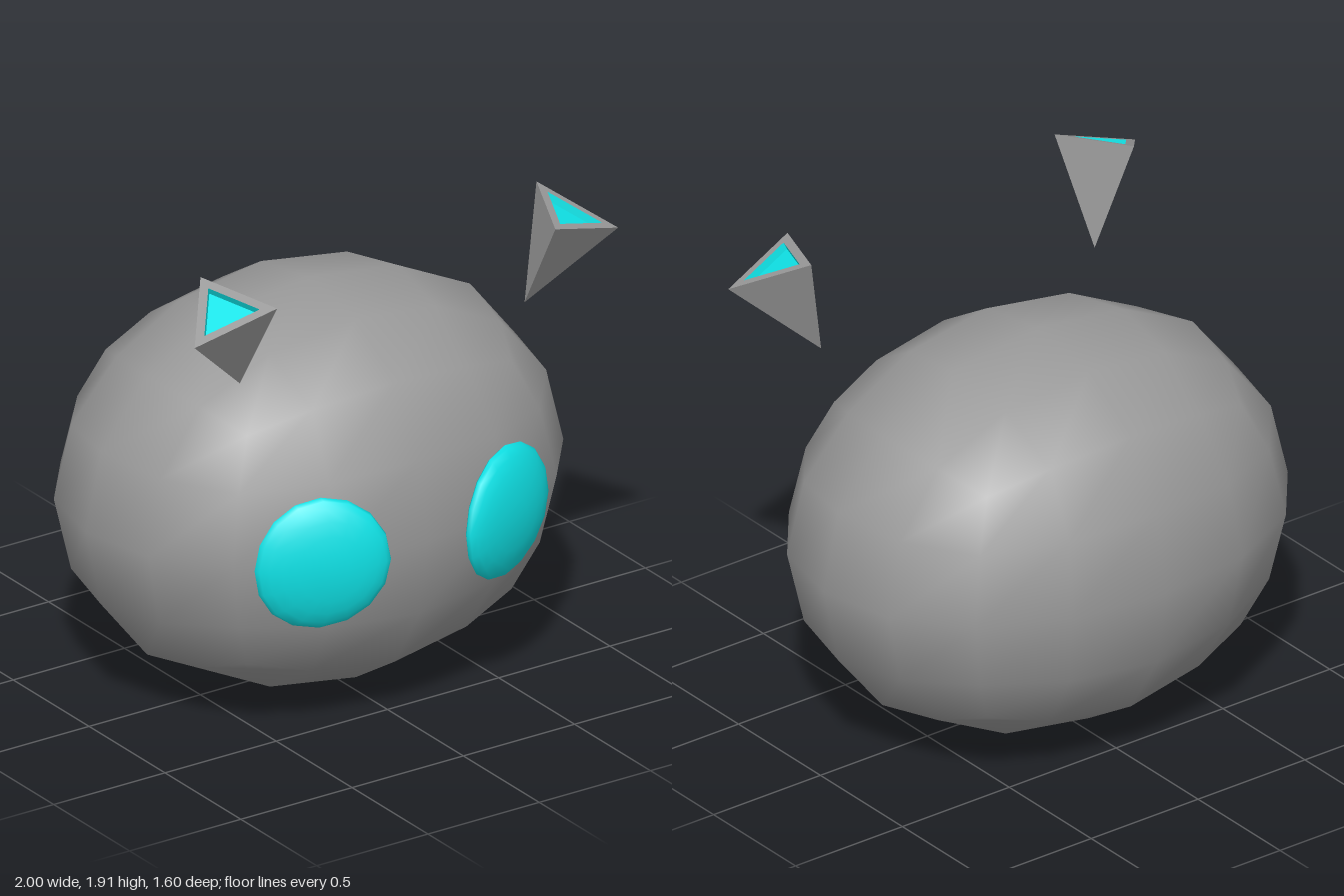
import * as THREE from 'three';
import { mergeVertices } from 'three/addons/utils/BufferGeometryUtils.js';

const RX = 1, R = 0.785, CY = 0.79, CZ = -0.02;

const grey = new THREE.MeshStandardMaterial({ color: 0x999999 });
grey.name = 'grey';
const cyan = new THREE.MeshStandardMaterial({ color: 0x0fe3e7 });
cyan.name = 'cyan';

function mesh(name, geometry, material) {
  const m = new THREE.Mesh(geometry, material);
  m.name = name;
  return m;
}

// Rounded cube with four quads per edge: each kind of grid point maps to a rounded position
const ROUND = {
  '200': [0, 0, 1], '210': [0, 0.398, 0.932], '211': [0, 0.373, 0.868],
  '220': [0, 0, 0.726], '221': [0, 0.347, 0.677], '222': [0, 0, 0.594],
};

function bodyGeometry() {
  let g = new THREE.BoxGeometry(4, 4, 4, 4, 4, 4);
  g.deleteAttribute('normal');
  g.deleteAttribute('uv');
  g = mergeVertices(g);
  const p = g.attributes.position;
  for (let i = 0; i < p.count; i++) {
    const c = [p.getX(i), p.getY(i), p.getZ(i)].map(Math.round);
    const key = c.map(Math.abs).sort((a, b) => b - a).join('');
    const [x, y, z] = c.map((v) => Math.sign(v) * ROUND[key][Math.abs(v)]);
    p.setXYZ(i, x * RX, CY + y * R, CZ + z * R);
  }
  g.computeVertexNormals();
  return g;
}

// Rounded pad bent to follow the front of the body
function eyeGeometry(side) {
  let g = new THREE.SphereGeometry(1, 16, 12);
  g.rotateX(Math.PI / 2);
  g.deleteAttribute('normal');
  g.deleteAttribute('uv');
  g = mergeVertices(g, 1e-4);
  const p = g.attributes.position;
  for (let i = 0; i < p.count; i++) {
    const r = Math.hypot(p.getX(i), p.getY(i));
    const flat = Math.sign(p.getZ(i)) * Math.sqrt(Math.max(0, 1 - r ** 4));
    const x = side * 0.414 + p.getX(i) * 0.244;
    const dy = -0.017 + p.getY(i) * 0.268;
    const surface = CZ + R * Math.sqrt(1 - (x / RX) ** 2 - (dy / R) ** 2);
    p.setXYZ(i, x, CY + dy, surface + 0.018 + flat * 0.04);
  }
  g.computeVertexNormals();
  return g;
}

// Flat-shaded faces from corner triples; mirrored sides swap the winding
function faces(triangles, side) {
  const points = [];
  for (const [a, b, c] of triangles) {
    for (const v of side > 0 ? [a, b, c] : [a, c, b]) {
      points.push(new THREE.Vector3(v.x * side, v.y, v.z));
    }
  }
  const g = new THREE.BufferGeometry().setFromPoints(points);
  g.computeVertexNormals();
  return g;
}

// Inverted pyramid with a recessed opening on its upper face
function ear(side) {
  const tip = new THREE.Vector3(0.64, 1.49, 0.465);
  const outer = [
    new THREE.Vector3(0.625, 1.877, 0.69),
    new THREE.Vector3(0.952, 1.775, 0.625),
    new THREE.Vector3(0.755, 1.92, 0.375),
  ];
  const centre = new THREE.Vector3();
  outer.forEach((v) => centre.addScaledVector(v, 1 / 3));
  const normal = new THREE.Triangle(...outer).getNormal(new THREE.Vector3());
  const inner = outer.map((v) => centre.clone().lerp(v, 0.67));
  const floor = inner.map((v) => v.clone().addScaledVector(normal, -0.03));

  const shell = [];
  const lining = [floor];
  for (let i = 0; i < 3; i++) {
    const j = (i + 1) % 3;
    shell.push([outer[j], outer[i], tip]);
    shell.push([outer[i], outer[j], inner[j]], [outer[i], inner[j], inner[i]]);
    lining.push([inner[i], inner[j], floor[j]], [inner[i], floor[j], floor[i]]);
  }
  const group = new THREE.Group();
  group.name = side > 0 ? 'leftEar' : 'rightEar';
  group.add(mesh('earShell', faces(shell, side), grey));
  group.add(mesh('earLining', faces(lining, side), cyan));
  return group;
}

export function createModel() {
  const model = new THREE.Group();
  model.name = 'floatingEarHead';
  model.add(mesh('head', bodyGeometry(), grey));
  for (const side of [1, -1]) {
    model.add(mesh(side > 0 ? 'leftEye' : 'rightEye', eyeGeometry(side), cyan));
    model.add(ear(side));
  }
  return model;
}
